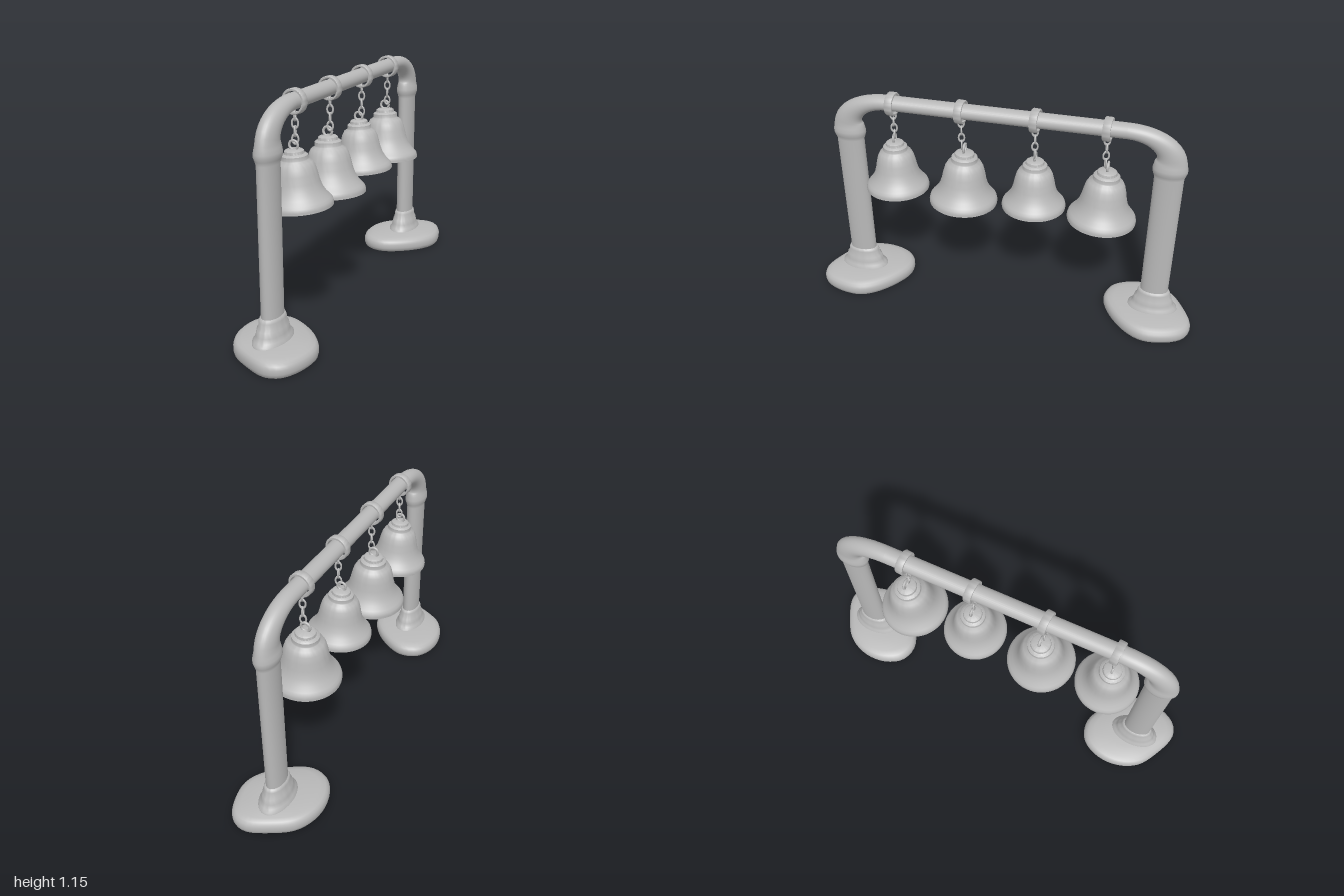
import * as THREE from 'three';
import { toCreasedNormals } from 'three/addons/utils/BufferGeometryUtils.js';

const grey = new THREE.MeshStandardMaterial({ color: 0xb8b8b8 });
grey.name = 'plain grey';
const greyOpen = grey;

function add(parent, name, geometry, material = grey) {
  const mesh = new THREE.Mesh(geometry, material);
  mesh.name = name;
  parent.add(mesh);
  return mesh;
}

// Skin a list of closed rings of points (counter-clockwise about the path direction).
function loft(rings) {
  const n = rings[0].length;
  const positions = rings.flat().flatMap((p) => [p.x, p.y, p.z]);
  const index = [];
  for (let i = 0; i < rings.length - 1; i++) {
    for (let j = 0; j < n; j++) {
      const k = (j + 1) % n;
      const a = i * n + j, b = i * n + k, c = a + n, d = b + n;
      index.push(a, b, c, b, d, c);
    }
  }
  const g = new THREE.BufferGeometry();
  g.setAttribute('position', new THREE.Float32BufferAttribute(positions, 3));
  g.setIndex(index);
  g.computeVertexNormals();
  return g;
}

// Smooth-edged lathe with sharp steps kept.
function turned(points, segments = 48) {
  const pts = points.map(([r, y]) => new THREE.Vector2(r, y));
  return toCreasedNormals(new THREE.LatheGeometry(pts, segments), 0.75);
}

// Posts, swollen elbows and top bar as one bent tube.
function frameGeometry() {
  const z0 = 0.79;
  // z, y, direction angle of the outward normal, in-plane radius, x radius
  const half = [
    [z0, 0.12, 0, 0.07, 0.043], [z0, 0.5, 0, 0.07, 0.043], [z0, 0.875, 0, 0.07, 0.043],
    [z0, 0.895, 0, 0.077, 0.049], [z0, 0.91, 0, 0.082, 0.054], [z0, 0.925, 0, 0.082, 0.054],
    [z0, 0.945, 0, 0.078, 0.05],
  ];
  for (let i = 0; i <= 12; i++) {
    const t = (i / 12) * Math.PI / 2;
    const z = 0.58 + 0.21 * Math.cos(t), y = 0.96 + 0.135 * Math.sin(t);
    const angle = Math.atan2(Math.sin(t) / 0.135, Math.cos(t) / 0.21);
    const r = THREE.MathUtils.lerp(0.075, 0.037, Math.sin(t));
    half.push([z, y, angle, r, THREE.MathUtils.lerp(0.046, 0.042, i / 12)]);
  }
  const other = half.map(([z, y, a, r, rx]) => [-z, y, Math.PI - a, r, rx]).reverse();
  const rings = [...half, ...other].map(([z, y, a, r, rx]) => {
    const ring = [];
    for (let j = 0; j < 32; j++) {
      const u = (j / 32) * Math.PI * 2, c = Math.cos(u) * r;
      ring.push(new THREE.Vector3(Math.sin(u) * rx, y + c * Math.sin(a), z + c * Math.cos(a)));
    }
    return ring;
  });
  return loft(rings);
}

// Irregular pebble-like slab under each post.
function slabGeometry(mirror) {
  let outline = [
    [0.07, 0.995], [0.14, 0.97], [0.19, 0.88], [0.2, 0.75], [0.12, 0.63], [-0.04, 0.535],
    [-0.14, 0.56], [-0.195, 0.65], [-0.2, 0.77], [-0.15, 0.88], [-0.05, 0.95],
  ].map(([x, z]) => new THREE.Vector3(x, 0, z * mirror));
  if (mirror < 0) outline.reverse();
  const curve = new THREE.CatmullRomCurve3(outline, true);
  const points = curve.getSpacedPoints(48).slice(0, 48);
  const levels = [
    [0.001, 0], [0.94, 0], [0.98, 0.008], [1, 0.022], [1, 0.042], [0.975, 0.057],
    [0.92, 0.068], [0.8, 0.076], [0.5, 0.084], [0.001, 0.09],
  ];
  const rings = levels.map(([s, y]) => points.map((p) =>
    new THREE.Vector3(p.x * s, y, 0.79 * mirror + (p.z - 0.79 * mirror) * s)));
  return toCreasedNormals(loft(rings), 0.8);
}

function makeStand() {
  const stand = new THREE.Group();
  stand.name = 'stand';
  add(stand, 'frame', frameGeometry());
  const foot = turned([
    [0.08, 0.07], [0.078, 0.09], [0.07, 0.1], [0.064, 0.12], [0.06, 0.145], [0.054, 0.155],
    [0.052, 0.18], [0.048, 0.192], [0.04, 0.197],
  ]);
  for (const side of [1, -1]) {
    add(stand, side > 0 ? 'frontBase' : 'backBase', slabGeometry(side));
    const m = add(stand, side > 0 ? 'frontFoot' : 'backFoot', foot);
    m.scale.z = 1.6;
    m.position.z = 0.79 * side;
  }
  return stand;
}

// Bell, y = 0 at the lip: the hollow inside first, then around the rim and up the outside.
const bellGeometry = turned([
  [0.001, 0.195], [0.05, 0.193], [0.075, 0.175], [0.088, 0.12], [0.105, 0.075], [0.148, 0.008],
  [0.152, 0], [0.158, 0], [0.159, 0.01], [0.155, 0.025], [0.146, 0.036], [0.13, 0.055],
  [0.114, 0.082], [0.104, 0.115], [0.097, 0.15], [0.089, 0.18], [0.078, 0.2], [0.062, 0.21],
  [0.06, 0.214], [0.06, 0.23], [0.055, 0.235], [0.046, 0.238], [0.044, 0.25], [0.036, 0.256],
  [0.001, 0.258],
], 64);
const bandGeometry = turned([
  [0.047, -0.019], [0.055, -0.019], [0.058, -0.015], [0.058, 0.015], [0.055, 0.019],
  [0.047, 0.019], [0.047, -0.019],
]);
const linkGeometry = new THREE.TorusGeometry(0.014, 0.0045, 8, 20);
const eyeGeometry = new THREE.TorusGeometry(0.021, 0.006, 10, 24);
const rodGeometry = new THREE.CylinderGeometry(0.005, 0.005, 0.21, 10);
const ballGeometry = new THREE.SphereGeometry(0.027, 24, 16);

function makeBell({ x, z, lip, scale, tiltX }) {
  const set = new THREE.Group();
  set.name = 'hangingBell';

  // Strap around the bar
  const band = add(set, 'strap', bandGeometry);
  band.rotation.set(Math.PI / 2, 0, 0.08);
  band.position.set(0, 1.092, z);

  // Bell with its eye and clapper
  const bell = new THREE.Group();
  bell.name = 'bell';
  add(bell, 'bellBody', bellGeometry, greyOpen);
  add(bell, 'eye', eyeGeometry).position.y = 0.274;
  add(bell, 'clapperRod', rodGeometry).position.y = 0.09;
  add(bell, 'clapperBall', ballGeometry).position.y = -0.008;
  bell.scale.setScalar(scale);
  bell.position.set(x, lip, z);
  bell.rotation.set(tiltX, 0, 0.06);
  set.add(bell);

  // Chain of alternating links between strap and eye
  const top = 1.03, bottom = lip + 0.3 * scale, count = 4;
  for (let i = 0; i < count; i++) {
    const link = add(set, 'chainLink', linkGeometry);
    link.scale.y = 1.5;
    link.rotation.y = i % 2 ? 0.3 : Math.PI / 2 + 0.3;
    link.position.set(0, THREE.MathUtils.lerp(top, bottom, i / (count - 1)), z);
  }
  return set;
}

export function createModel() {
  const model = new THREE.Group();
  model.name = 'bellStand';
  model.add(makeStand());
  const bells = [
    { x: 0.01, z: 0.555, lip: 0.625, scale: 1, tiltX: 0.02 },
    { x: 0, z: 0.212, lip: 0.587, scale: 1.08, tiltX: -0.03 },
    { x: 0, z: -0.15, lip: 0.612, scale: 1, tiltX: 0 },
    { x: 0, z: -0.49, lip: 0.587, scale: 1.07, tiltX: -0.04 },
  ];
  for (const b of bells) model.add(makeBell(b));
  return model;
}
